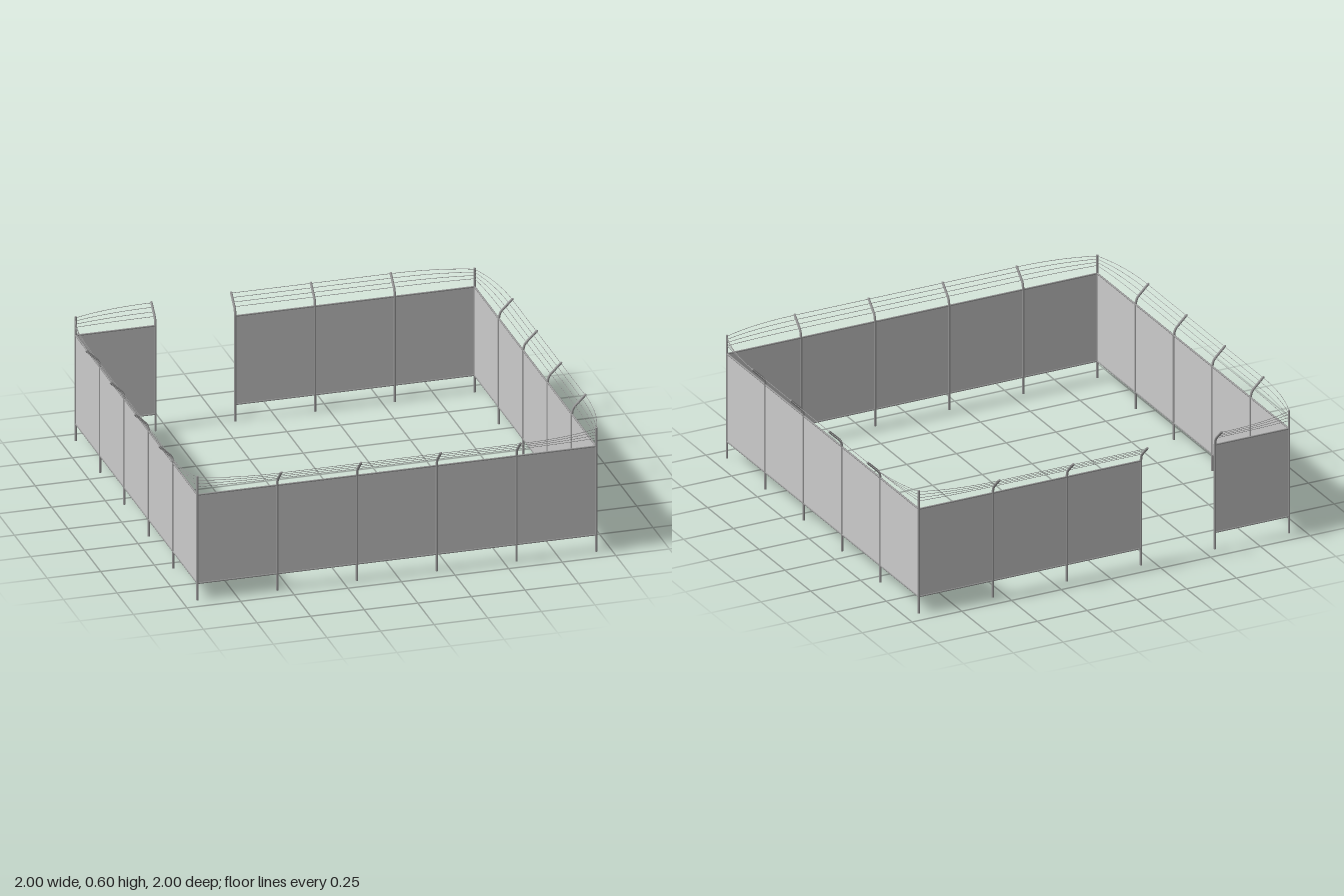
import * as THREE from 'three';

const HALF = 0.93;                 // half the width of the square enclosure
const SPANS = 5;
const STEP = (2 * HALF) / SPANS;
const BOTTOM = 0.082, TOP = 0.512; // panel edges
const POST_R = 0.0058, RAIL_R = 0.0042, WIRE_R = 0.0013;

export function createModel() {
  const steel = new THREE.MeshStandardMaterial({ color: 0x9a9a9a, side: THREE.DoubleSide });
  steel.name = 'grey steel';
  const mesh = new THREE.MeshStandardMaterial({ color: 0xcbcbcb, side: THREE.DoubleSide });
  mesh.name = 'light grey fence mesh';

  const V = (x, y, z) => new THREE.Vector3(x, y, z);
  const add = (parent, name, geometry, material, x = 0, y = 0, z = 0) => {
    const part = new THREE.Mesh(geometry, material);
    part.name = name;
    part.position.set(x, y, z);
    parent.add(part);
    return part;
  };

  // Shared geometries
  const postGeo = new THREE.CylinderGeometry(POST_R, POST_R, TOP, 8);
  const cornerGeo = new THREE.CylinderGeometry(POST_R, POST_R, 0.603, 8);
  const railGeo = new THREE.CylinderGeometry(RAIL_R, RAIL_R, STEP, 8).rotateZ(Math.PI / 2);
  const panelGeo = new THREE.BoxGeometry(STEP, TOP - BOTTOM, 0.002);
  const capGeo = new THREE.SphereGeometry(POST_R, 8, 6);

  // Arm bends outward above the post
  const armBase = V(0, 0.55, 0.013), armTip = V(0, 0.599, 0.063);
  const armPath = new THREE.CurvePath();
  armPath.add(new THREE.QuadraticBezierCurve3(V(0, 0.505, 0), V(0, 0.535, 0), armBase));
  armPath.add(new THREE.LineCurve3(armBase, armTip));
  const armGeo = new THREE.TubeGeometry(armPath, 10, POST_R, 8);

  // Four wire anchor points along the arm
  const anchors = [0.02, 0.34, 0.66, 0.97].map(t => armBase.clone().lerp(armTip, t));

  // One side facing +z, with an optional open span for the entrance
  function buildSide(name, openSpan) {
    const side = new THREE.Group();
    side.name = name;
    for (let i = 1; i < SPANS; i++) {
      const x = -HALF + i * STEP;
      add(side, 'post', postGeo, steel, x, TOP / 2, HALF);
      add(side, 'arm', armGeo, steel, x, 0, HALF);
      add(side, 'armCap', capGeo, steel, x, armTip.y, HALF + armTip.z);
    }
    for (let i = 0; i < SPANS; i++) {
      if (i === openSpan) continue;
      const x0 = -HALF + i * STEP, x1 = x0 + STEP, mid = (x0 + x1) / 2;
      add(side, 'panel', panelGeo, mesh, mid, (TOP + BOTTOM) / 2, HALF);
      add(side, 'topRail', railGeo, steel, mid, TOP, HALF);
      add(side, 'bottomRail', railGeo, steel, mid, BOTTOM, HALF);
      for (const a of anchors) {
        const z = HALF + a.z;
        let curve = new THREE.LineCurve3(V(x0, a.y, z), V(x1, a.y, z));
        // End spans sweep in to the corner post
        if (i === 0 || i === SPANS - 1) {
          const s = i === 0 ? -1 : 1;
          curve = new THREE.QuadraticBezierCurve3(
            V(s * (HALF - STEP), a.y, z), V(s * 0.77, a.y, z), V(s * HALF, a.y, HALF));
        }
        const segments = curve.isLineCurve3 ? 1 : 12;
        add(side, 'wire', new THREE.TubeGeometry(curve, segments, WIRE_R, 4), steel);
      }
    }
    return side;
  }

  const model = new THREE.Group();
  model.name = 'fenceEnclosure';
  ['frontSide', 'leftSide', 'backSide', 'rightSide'].forEach((name, k) => {
    const side = buildSide(name, name === 'backSide' ? 3 : -1);
    add(side, 'cornerPost', cornerGeo, steel, HALF, 0.3015, HALF);
    side.rotation.y = k * Math.PI / 2;
    model.add(side);
  });
  return model;
}
